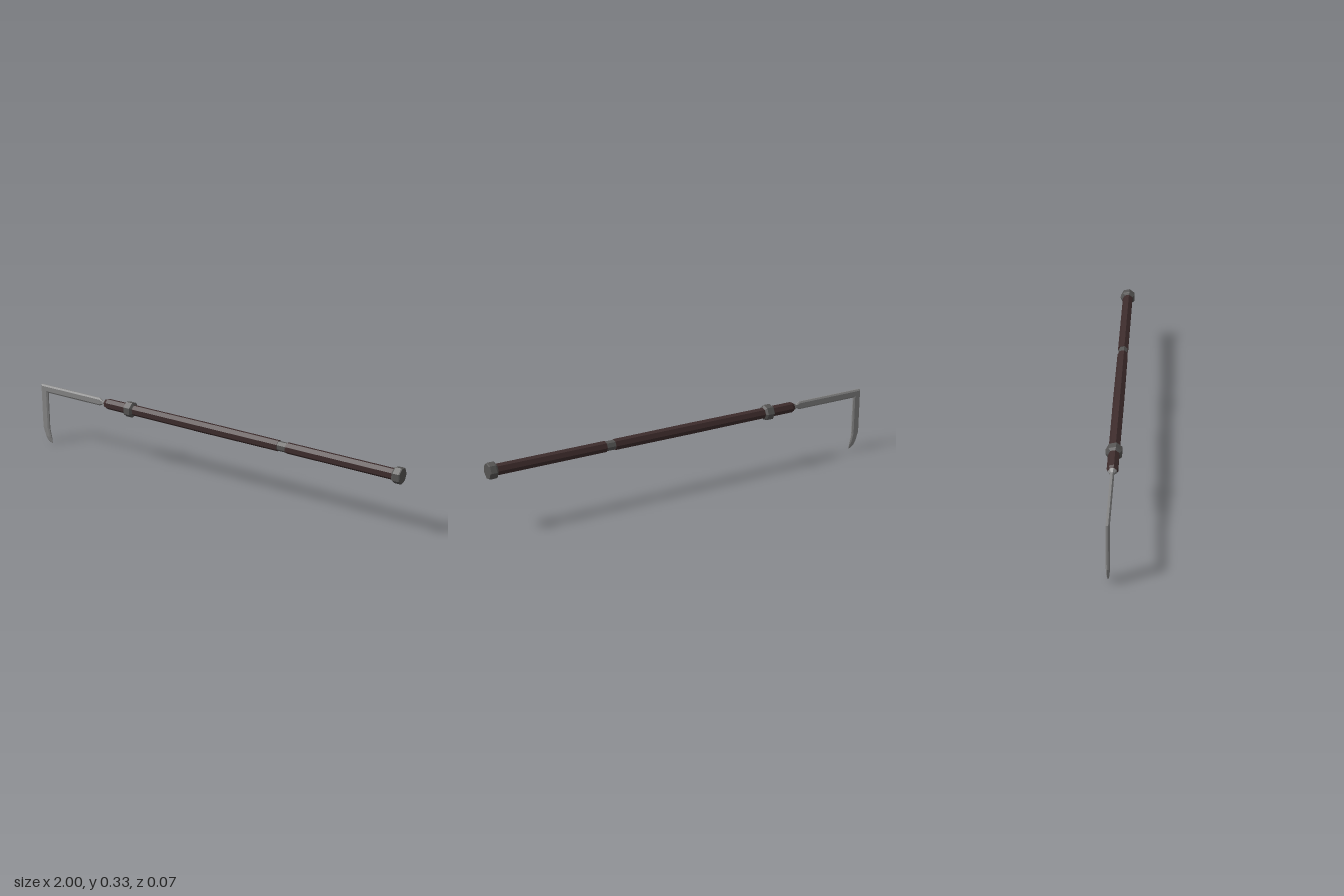
import * as THREE from 'three';

const AXIS_Y = 0.288;
const SIDES = 7;

const material = (name, color) => {
  const m = new THREE.MeshStandardMaterial({ color, flatShading: true });
  m.name = name;
  return m;
};

// Seven-sided turned part along x, from [x, radius] pairs
function turned(name, profile, mat) {
  const points = profile.map(([x, r]) => new THREE.Vector2(r, x));
  const geo = new THREE.LatheGeometry(points, SIDES, Math.PI).rotateZ(-Math.PI / 2);
  const mesh = new THREE.Mesh(geo, mat);
  mesh.name = name;
  mesh.position.y = AXIS_Y;
  return mesh;
}

// Flattened octagonal bar; each station is [outerX, outerY, innerX, innerY, halfThickness]
function bar(name, stations, mat) {
  const section = [[0, 0.4], [0.2, 1], [0.8, 1], [1, 0.4], [1, -0.4], [0.8, -1], [0.2, -1], [0, -0.4]];
  const n = section.length;
  const pos = [];
  const idx = [];
  for (const [ox, oy, ix, iy, t] of stations) {
    for (const [u, v] of section) pos.push(ox + (ix - ox) * u, oy + (iy - oy) * u, v * t);
  }
  for (let s = 0; s < stations.length - 1; s++) {
    for (let k = 0; k < n; k++) {
      const a = s * n + k, b = s * n + (k + 1) % n;
      idx.push(a, a + n, b, b, a + n, b + n);
    }
  }
  // End caps
  const last = (stations.length - 1) * n;
  for (let k = 1; k < n - 1; k++) {
    idx.push(0, k, k + 1);
    idx.push(last, last + k + 1, last + k);
  }
  const geo = new THREE.BufferGeometry();
  geo.setAttribute('position', new THREE.Float32BufferAttribute(pos, 3));
  geo.setIndex(idx);
  const flat = geo.toNonIndexed();
  flat.computeVertexNormals();
  const mesh = new THREE.Mesh(flat, mat);
  mesh.name = name;
  return mesh;
}

export function createModel() {
  const wood = material('dark wood', 0x3d2c2c);
  const iron = material('dark iron', 0x555453);
  const steel = material('steel', 0x858585);
  steel.side = THREE.DoubleSide;

  const group = new THREE.Group();
  group.name = 'hookTool';

  // Handle, split around the inset ring
  group.add(turned('frontShaft', [[-0.595, 0], [-0.595, 0.019], [-0.58, 0.026], [-0.31, 0.026], [-0.01, 0.027], [0.385, 0.026], [0.385, 0]], wood));
  group.add(turned('rearShaft', [[0.43, 0], [0.43, 0.026], [0.965, 0.026], [0.965, 0]], wood));

  // Metal fittings
  group.add(turned('insetRing', [[0.38, 0.023], [0.435, 0.023]], iron));
  group.add(turned('collar', [[-0.472, 0.025], [-0.463, 0.038], [-0.429, 0.038], [-0.42, 0.025]], iron));
  group.add(turned('endCap', [[0.957, 0.025], [0.962, 0.035], [0.968, 0.038], [0.995, 0.038], [1, 0.036], [1, 0]], iron));
  group.add(turned('ferrule', [[-0.618, 0], [-0.618, 0.006], [-0.595, 0.02]], steel));

  // Right-angled hook with a mitred corner and a bent, pointed tip
  group.add(bar('hook', [
    [-0.608, 0.295, -0.608, 0.281, 0.006],
    [-0.63, 0.309, -0.63, 0.27, 0.008],
    [-1, 0.309, -0.96, 0.27, 0.008],
    [-1, 0.083, -0.96, 0.079, 0.008],
    [-0.985, 0.035, -0.951, 0.035, 0.0065],
    [-0.973, 0.014, -0.947, 0.014, 0.003],
    [-0.955, 0.003, -0.945, 0, 0.0005],
  ], steel));

  return group;
}
